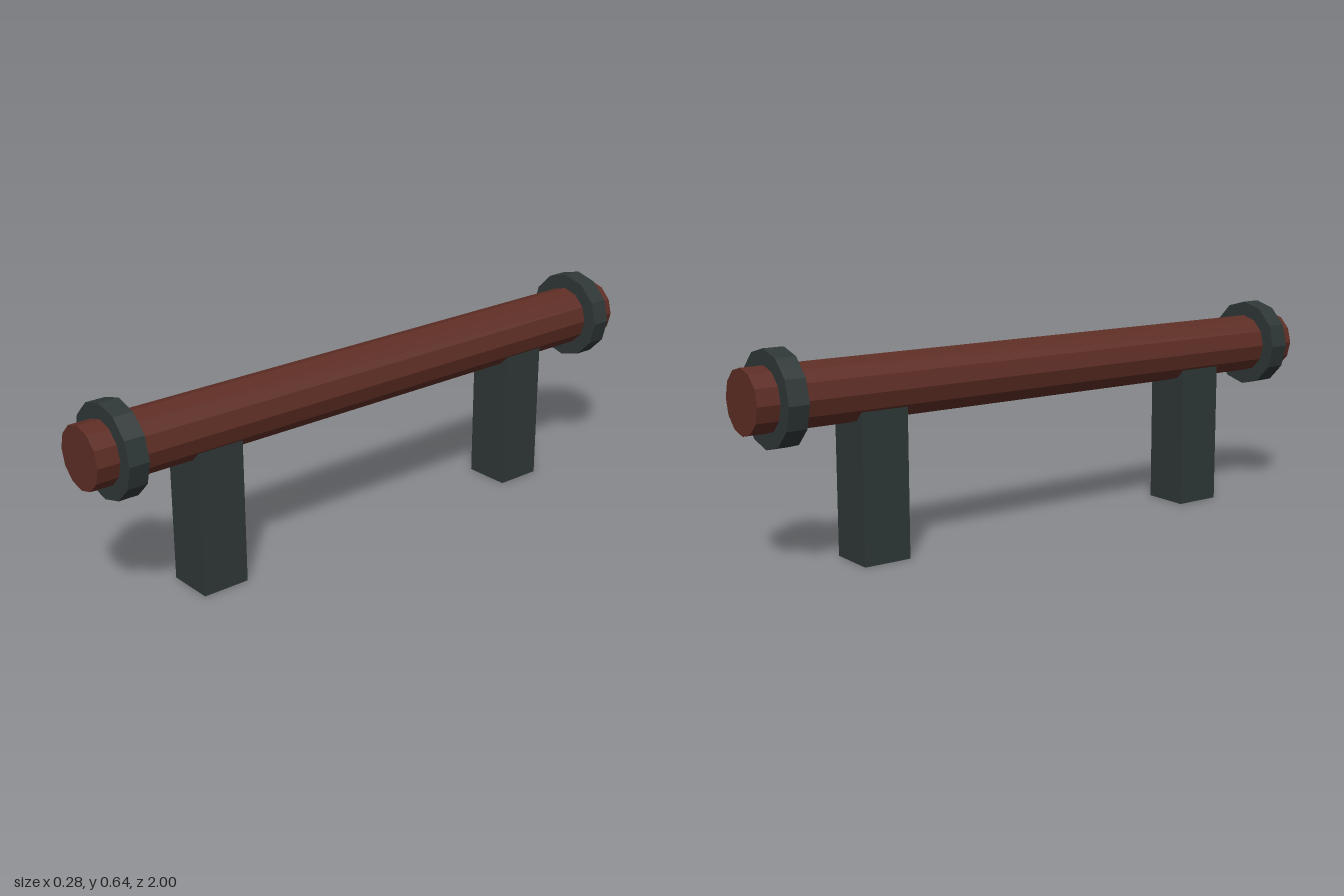
import * as THREE from 'three';

export function createModel() {
  const model = new THREE.Group();
  const wood = new THREE.MeshStandardMaterial({ color: 0x5e2e25 });
  wood.name = 'red brown wood';
  wood.flatShading = true;
  const iron = new THREE.MeshStandardMaterial({ color: 0x2f3837 });
  iron.name = 'dark iron';
  iron.flatShading = true;

  const axisY = 0.5;
  const add = (name, geometry, material, y, z) => {
    const mesh = new THREE.Mesh(geometry, material);
    mesh.name = name;
    mesh.position.set(0, y, z);
    model.add(mesh);
  };
  // Twelve-sided cylinder lying along z
  const rod = (radius, length) =>
    new THREE.CylinderGeometry(radius, radius, length, 12).rotateX(Math.PI / 2);

  // Long horizontal beam
  add('beam', rod(0.094, 2), wood, axisY, 0);

  // A collar and a supporting post towards each end
  for (const [end, side] of [['front', 1], ['back', -1]]) {
    add(end + 'Collar', rod(0.14, 0.0625), iron, axisY, side * 0.9);
    add(end + 'Post', new THREE.BoxGeometry(0.15, 0.45, 0.15), iron, 0.225, side * 0.6);
  }
  return model;
}
